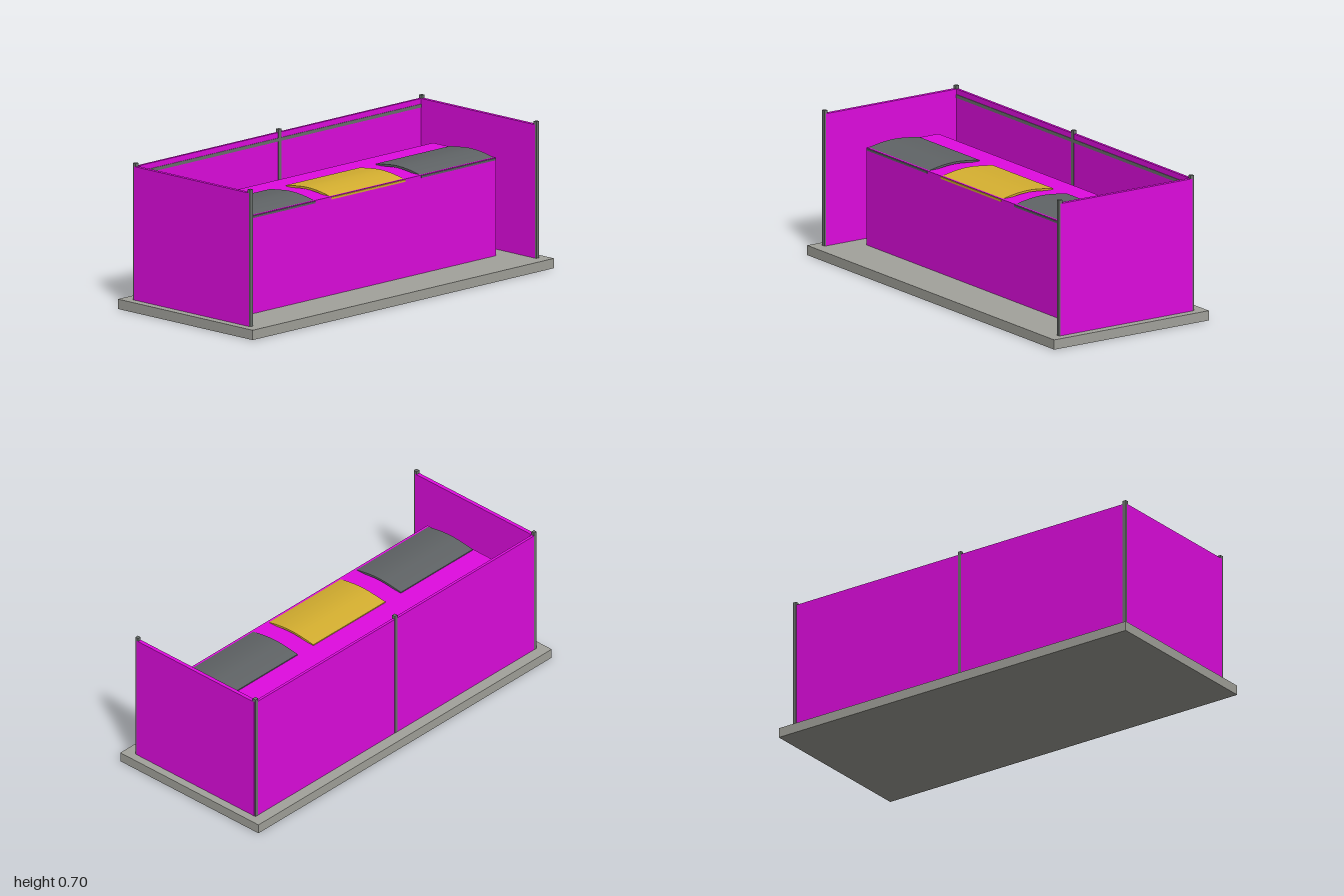
import * as THREE from 'three';

const mat = (color) => new THREE.MeshStandardMaterial({ color });
const magenta = mat(0xe00be0);
const stone = mat(0xa3a39c);
const metal = mat(0x6c726e);
const slate = mat(0x606466);
const gold = mat(0xd6b030);

export function createModel() {
  const model = new THREE.Group();
  model.name = 'exhibitionBooth';

  // box given by its min and max along each axis
  const box = (name, material, [x0, x1], [y0, y1], [z0, z1]) => {
    const mesh = new THREE.Mesh(new THREE.BoxGeometry(x1 - x0, y1 - y0, z1 - z0), material);
    mesh.position.set((x0 + x1) / 2, (y0 + y1) / 2, (z0 + z1) / 2);
    mesh.name = name;
    model.add(mesh);
  };

  const floor = 0.047;

  // floor slab and counter
  box('floorSlab', stone, [-1, 1], [0, floor], [-0.44, 0.44]);
  box('counter', magenta, [-0.848, 0.848], [floor, 0.518], [-0.2, 0.21]);

  // back wall with its two inner rails
  box('backWall', magenta, [-0.945, 0.945], [floor, 0.686], [-0.3825, -0.369]);
  for (const y of [0.161, 0.652]) {
    box('backRail', metal, [-0.945, 0.945], [y - 0.008, y + 0.008], [-0.379, -0.366]);
  }

  // side walls and the posts that hold them
  for (const s of [-1, 1]) {
    const x = s * 0.95;
    box('sideWall', magenta, [x - 0.0095, x + 0.0095], [floor, 0.686], [-0.375, 0.375]);
    for (const z of [-0.374, 0.374]) {
      box('cornerPost', metal, [x - 0.009, x + 0.009], [floor, 0.702], [z - 0.009, z + 0.009]);
    }
  }
  box('middlePost', metal, [-0.009, 0.009], [floor, 0.702], [-0.383, -0.366]);

  // gently arched mats on the counter, their front lip dipping over the edge
  const arch = [[-0.085, 0.519], [-0.03, 0.526], [0.04, 0.532], [0.1, 0.53], [0.16, 0.522], [0.213, 0.511]];
  const curve = new THREE.CatmullRomCurve3(arch.map(([z, y]) => new THREE.Vector3(z, y, 0)));
  const top = curve.getPoints(20).map((p) => new THREE.Vector2(p.x, p.y + 0.004));
  const bottom = top.map((p) => new THREE.Vector2(p.x, p.y - 0.01)).reverse();
  const matGeometry = new THREE.ExtrudeGeometry(new THREE.Shape([...top, ...bottom]), {
    depth: 0.49, bevelEnabled: false,
  });
  matGeometry.translate(0, 0, -0.245).rotateY(-Math.PI / 2);
  for (const [x, material] of [[-0.597, slate], [0, gold], [0.597, slate]]) {
    const mesh = new THREE.Mesh(matGeometry, material);
    mesh.position.x = x;
    mesh.name = 'counterMat';
    model.add(mesh);
  }

  return model;
}
